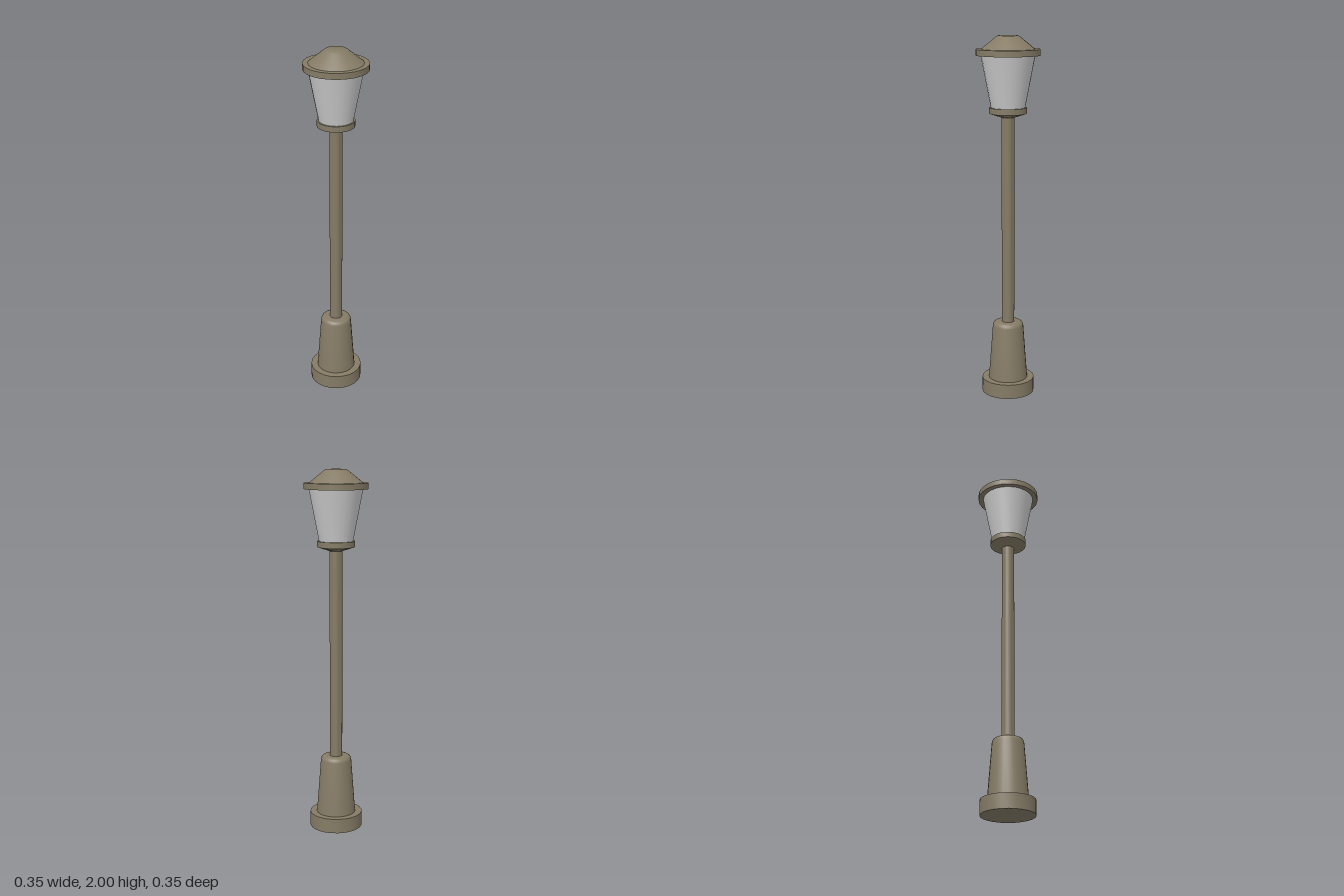
import * as THREE from 'three';
import { toCreasedNormals } from 'three/addons/utils/BufferGeometryUtils.js';

const SIDES = 24;

export function createModel() {
  const lamp = new THREE.Group();
  lamp.name = 'streetLamp';
  const metal = new THREE.MeshStandardMaterial({ color: 0x857b66 });
  const glass = new THREE.MeshStandardMaterial({ color: 0xcccccc });

  // Turned part from [radius, height] pairs, listed bottom to top
  function turned(name, profile, material = metal) {
    const points = profile.map(([r, y]) => new THREE.Vector2(r, y));
    const geometry = toCreasedNormals(new THREE.LatheGeometry(points, SIDES), 0.6);
    const mesh = new THREE.Mesh(geometry, material);
    mesh.name = name;
    lamp.add(mesh);
  }

  // Foot: flat plinth and tapered pedestal with a rounded shoulder
  turned('plinth', [[0, 0], [0.146, 0], [0.146, 0.082], [0, 0.082]]);
  const shoulder = [];
  for (let i = 0; i <= 4; i++) {
    const a = (i / 4) * Math.PI / 2;
    shoulder.push([0.061 + 0.025 * Math.cos(a), 0.388 + 0.025 * Math.sin(a)]);
  }
  turned('pedestal', [[0.109, 0.08], ...shoulder, [0, 0.413]]);

  // Post
  turned('pole', [[0.035, 0.4], [0.035, 1.58]]);

  // Lantern: holder, flared glass, rim and conical roof
  turned('lanternHolder', [[0, 1.565], [0.035, 1.565], [0.102, 1.587], [0.102, 1.619], [0, 1.619]]);
  turned('lanternGlass', [[0, 1.615], [0.092, 1.615], [0.147, 1.9], [0, 1.9]], glass);
  turned('roofRim', [[0, 1.896], [0.174, 1.896], [0.174, 1.929], [0, 1.929]]);
  turned('roof', [[0.148, 1.927], [0.064, 1.995], [0.056, 2], [0, 2]]);

  return lamp;
}
